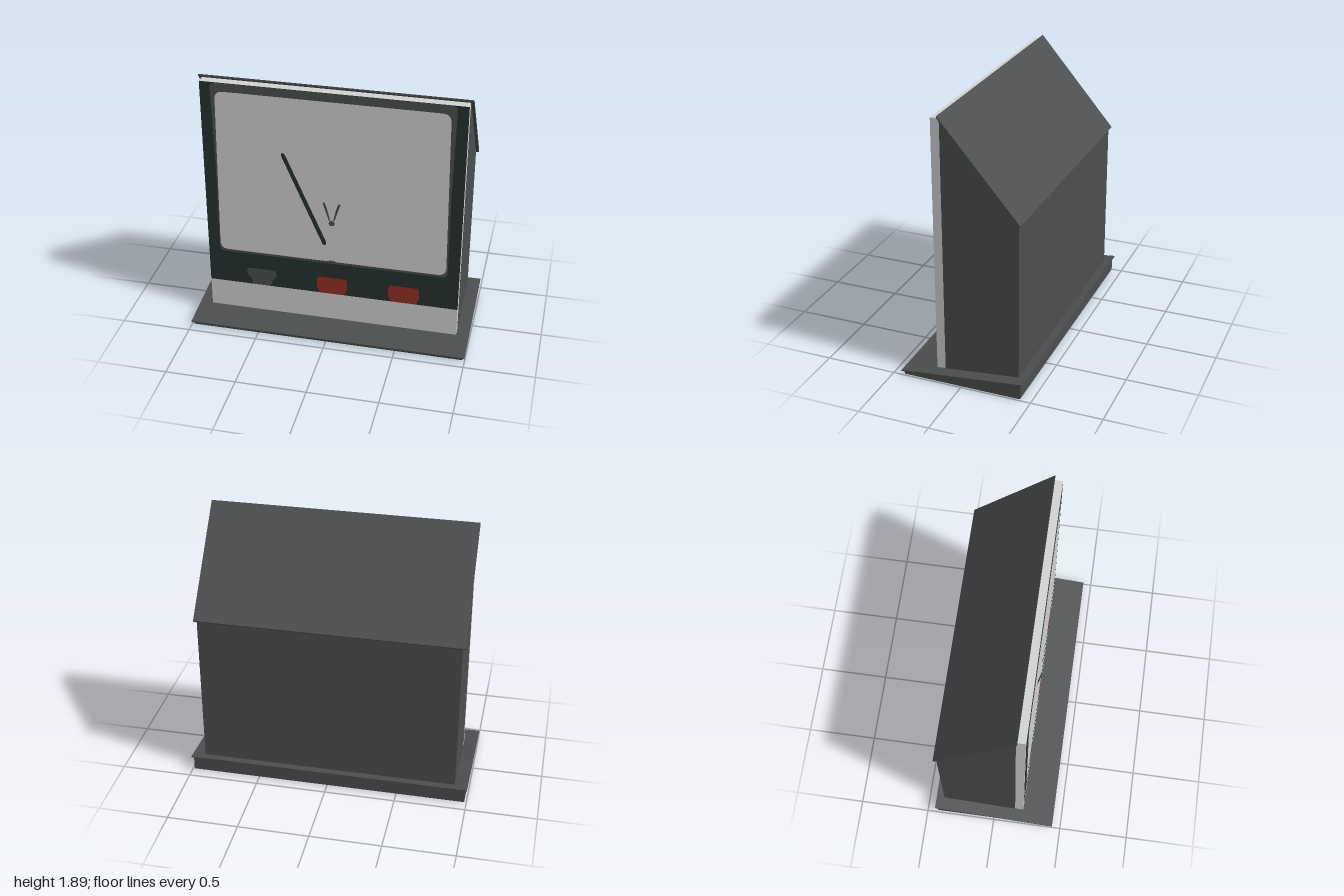
import * as THREE from 'three';

const flat = (name, color) => new THREE.MeshStandardMaterial({ name, color });

// Closed outline with every corner rounded by radius r
function roundedOutline(points, r) {
  const pts = points.map(([x, y]) => new THREE.Vector2(x, y));
  const shape = new THREE.Shape();
  pts.forEach((p, i) => {
    const toward = (q) => {
      const d = q.clone().sub(p);
      return p.clone().add(d.setLength(Math.min(r, d.length() / 2)));
    };
    const a = toward(pts[(i + pts.length - 1) % pts.length]);
    const b = toward(pts[(i + 1) % pts.length]);
    if (i === 0) shape.moveTo(a.x, a.y);
    else shape.lineTo(a.x, a.y);
    shape.quadraticCurveTo(p.x, p.y, b.x, b.y);
  });
  shape.closePath();
  return shape;
}

// Solid with a (z, y) side profile, running from -halfWidth to +halfWidth in x
function prism(profile, halfWidth) {
  const shape = new THREE.Shape(profile.map(([z, y]) => new THREE.Vector2(z, y)));
  const geo = new THREE.ExtrudeGeometry(shape, { depth: halfWidth * 2, bevelEnabled: false });
  return geo.rotateY(-Math.PI / 2).translate(halfWidth, 0, 0);
}

export function createModel() {
  const model = new THREE.Group();
  model.name = 'panelMeter';
  const casing = flat('charcoal', 0x4b4f4f);
  const light = flat('lightGrey', 0xd2d2d2);
  const dark = flat('darkTeal', 0x243030);
  const red = flat('red', 0x962f24);

  const add = (name, geometry, material, parent = model) => {
    const mesh = new THREE.Mesh(geometry, material);
    mesh.name = name;
    parent.add(mesh);
    return mesh;
  };

  // Wedge base with a thin overhanging sloped top
  add('base', prism([[0.42, 0], [0.43, 0.03], [-0.425, 0.113], [-0.425, 0.008], [-0.415, 0]], 0.985), casing);
  add('baseTop', prism([[0.44, 0.026], [0.44, 0.034], [-0.44, 0.122], [-0.44, 0.114]], 1), casing);

  // Housing with a sloping back, and the roof plate over it
  add('housing', prism([[0.15, 0.055], [0.15, 1.865], [-0.382, 1.23], [-0.382, 0.108]], 0.91), casing);
  add('roof', prism([[0.16, 1.874], [0.158, 1.886], [-0.4, 1.232], [-0.392, 1.222]], 0.93), casing);

  // Front panel slab
  const slab = new THREE.BoxGeometry(1.816, 1.807, 0.063);
  add('frontPanel', slab.translate(0, 0.9585, 0.1805), light);

  // Thin painted faces on the front, stacked in layers
  const face = new THREE.Group();
  face.name = 'faceDetails';
  model.add(face);
  const paint = (name, points, r, material, layer) =>
    add(name, new THREE.ShapeGeometry(roundedOutline(points, r), 6), material, face)
      .position.set(0, 0, 0.212 + layer * 0.002);

  paint('faceSurround', [[-0.908, 0.275], [0.908, 0.275], [0.908, 1.862], [-0.908, 1.862]], 0.001, dark, 1);
  paint('bezel', [[-0.825, 0.535], [0.825, 0.535], [0.822, 1.2], [0.835, 1.861], [-0.835, 1.861], [-0.822, 1.2]],
    0.04, casing, 2);
  paint('dial', [[-0.82, 0.553], [0.815, 0.553], [0.796, 1.8], [-0.803, 1.8]], 0.06, light, 3);
  paint('dialNotch', [[-0.04, 0.54], [0.04, 0.54], [0.02, 0.562], [-0.02, 0.562]], 0.01, casing, 4);

  // Long needle
  paint('needle', [[-0.355, 1.37], [-0.062, 0.685], [-0.038, 0.69], [-0.04, 0.715], [-0.325, 1.375], [-0.345, 1.388]],
    0.012, dark, 4);

  // Small V mark with its pivot
  for (const s of [-1, 1]) {
    const pts = [[s * 0.01, 0.89], [s * 0.019, 0.89], [s * 0.064, 1.03], [s * 0.05, 1.035], [s * 0.032, 0.985]];
    paint(s > 0 ? 'leftMark' : 'rightMark', s > 0 ? pts : pts.reverse(), 0.006, casing, 4);
  }
  add('pivot', new THREE.CircleGeometry(0.021, 16), casing, face).position.set(0, 0.87, 0.22);

  // Row of buttons: one tapered grey, two red
  const button = (name, x, bottom, waist, material) => paint(name, [
    [x - bottom, 0.276], [x + bottom, 0.276], [x + waist, 0.32], [x + 0.112, 0.365],
    [x + 0.106, 0.412], [x - 0.106, 0.412], [x - 0.112, 0.365], [x - waist, 0.32],
  ], 0.018, material, 2);
  button('greyButton', -0.52, 0.07, 0.075, casing);
  button('middleRedButton', 0, 0.09, 0.11, red);
  button('leftRedButton', 0.52, 0.09, 0.11, red);

  return model;
}
